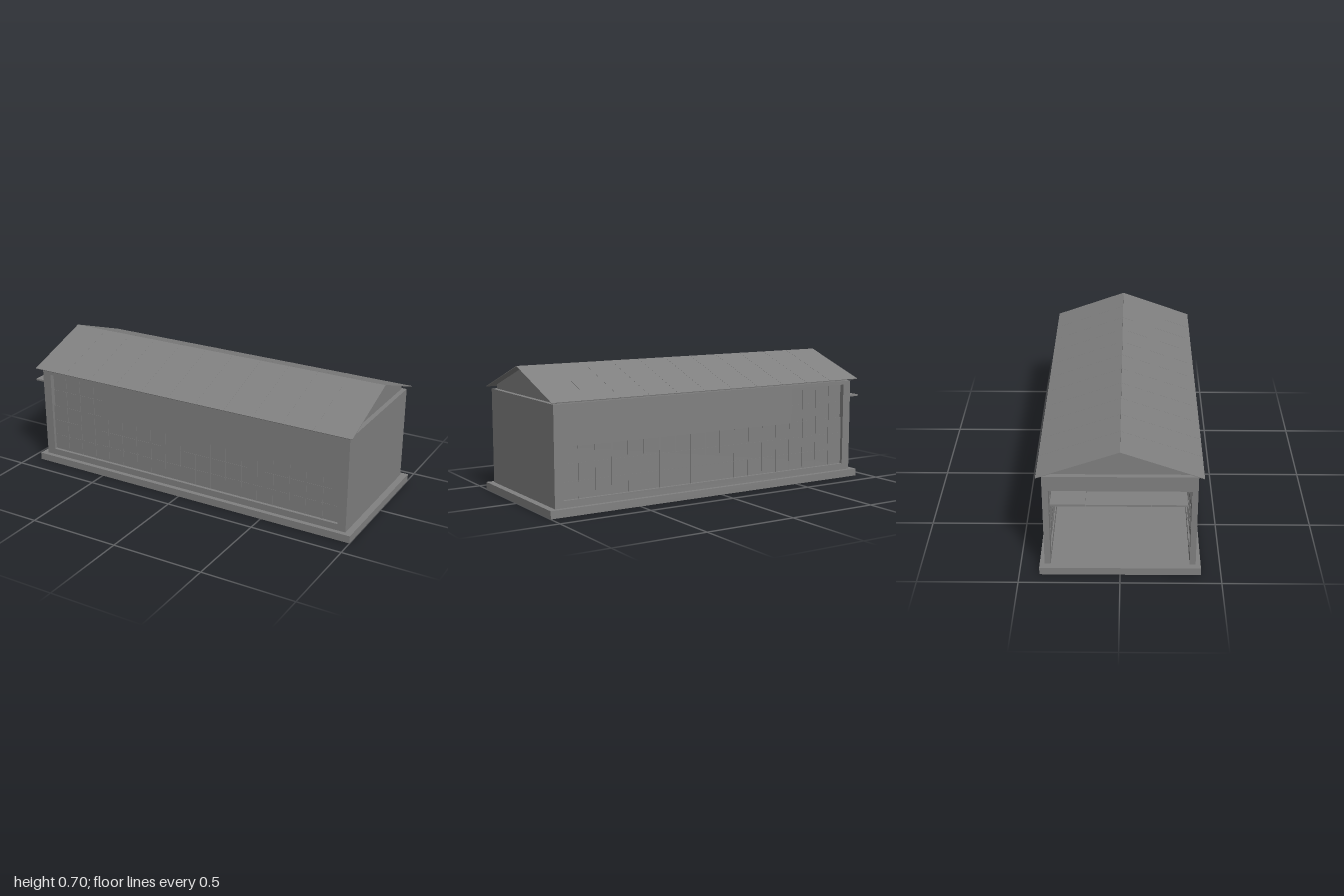
import * as THREE from 'three';

const grey = new THREE.MeshStandardMaterial({ color: 0x808080 });
grey.name = 'plain grey';
grey.side = THREE.DoubleSide;

function add(parent, name, geometry) {
  const mesh = new THREE.Mesh(geometry, grey);
  mesh.name = name;
  parent.add(mesh);
  return mesh;
}

// Box given by its limits along each axis
function block(parent, name, x0, x1, y0, y1, z0, z1) {
  const mesh = add(parent, name, new THREE.BoxGeometry(x1 - x0, y1 - y0, z1 - z0));
  mesh.position.set((x0 + x1) / 2, (y0 + y1) / 2, (z0 + z1) / 2);
  return mesh;
}

const points = (list) => list.map(([x, y]) => new THREE.Vector2(x, y));

// Window outline: tall at the entrance end, low along the rest
const LEFT = -0.85, STEP = -0.48, RIGHT = 0.92, SILL = 0.075, LOW = 0.34, TALL = 0.53;
const outline = (x0) => points([
  [x0, SILL], [RIGHT, SILL], [RIGHT, LOW], [STEP, LOW], [STEP, TALL], [x0, TALL],
]);

function longSide(name, side) {
  const group = new THREE.Group();
  group.name = name;

  // Wall with its stepped opening
  const wall = new THREE.Shape(points([[-0.9, 0.04], [0.965, 0.04], [0.965, 0.55], [-0.9, 0.55]]));
  wall.holes.push(new THREE.Path(outline(LEFT)));
  add(group, 'longWall', new THREE.ExtrudeGeometry(wall, { depth: 0.03, bevelEnabled: false }))
    .position.z = side > 0 ? 0.345 : -0.375;

  // Recessed glazing, leaving a narrow slit beside the tall part
  const z = side * 0.355;
  const pane = new THREE.Shape(points([
    [LEFT, SILL], [RIGHT, SILL], [RIGHT, LOW], [STEP, LOW], [STEP, TALL],
    [LEFT + 0.008, TALL], [LEFT + 0.008, LOW], [LEFT, LOW],
  ]));
  add(group, 'glazing', new THREE.ExtrudeGeometry(pane, { depth: 0.006, bevelEnabled: false }))
    .position.z = z - 0.003;

  // Glazing bars
  const columns = 19;
  for (let i = 1; i < columns; i++) {
    const x = LEFT + (RIGHT - LEFT) * i / columns;
    block(group, 'mullion', x - 0.002, x + 0.002, SILL, x < STEP ? TALL : LOW, z - 0.006, z + 0.006);
  }
  for (const y of [0.163, 0.252, 0.34, 0.435]) {
    const end = y < LOW ? RIGHT : STEP;
    block(group, 'transom', LEFT + 0.008, end, y - 0.001, y + 0.001, z - 0.004, z + 0.004);
  }
  return group;
}

function roofSlope(name, side) {
  const group = new THREE.Group();
  group.name = name;
  const run = 0.4, drop = 0.142;
  const length = Math.hypot(run, drop);
  const sheet = add(group, 'roofSheet', new THREE.BoxGeometry(1.915, 0.003, length));
  sheet.position.x = 0.0275;
  // Joints between the sheets
  for (let i = 0; i < 10; i++) {
    const seam = add(group, 'roofSeam', new THREE.BoxGeometry(0.004, 0.001, length));
    seam.position.set(-0.73 + i * 0.1675, 0.0016, 0);
  }
  group.rotation.x = side * Math.atan2(drop, run);
  group.position.set(0, 0.703 - drop / 2, side * run / 2);
  return group;
}

export function createModel() {
  const model = new THREE.Group();
  model.name = 'hall';

  // Floor slab
  block(model, 'baseSlab', -0.935, 1, 0, 0.04, -0.4, 0.4);

  // Walls
  model.add(longSide('frontSide', 1), longSide('backSide', -1));
  block(model, 'endWall', 0.935, 0.965, 0.04, 0.55, -0.345, 0.345);
  block(model, 'entranceHeader', -0.9, -0.87, 0.47, 0.55, -0.345, 0.345);

  // Gable prism under the roof
  const gable = new THREE.Shape(points([
    [-0.36, 0.545], [0.36, 0.545], [0.36, 0.573], [0, 0.7], [-0.36, 0.573],
  ]));
  const attic = add(model, 'gable', new THREE.ExtrudeGeometry(gable, { depth: 1.815, bevelEnabled: false }));
  attic.rotation.y = Math.PI / 2;
  attic.position.x = -0.875;

  // Roof
  model.add(roofSlope('frontRoof', 1), roofSlope('backRoof', -1));

  // Raised entrance door in three leaves
  for (const [z0, z1] of [[-0.33, -0.162], [-0.158, 0.148], [0.152, 0.32]]) {
    block(model, 'raisedDoorLeaf', -1, -0.83, 0.45, 0.46, z0, z1);
  }
  return model;
}
